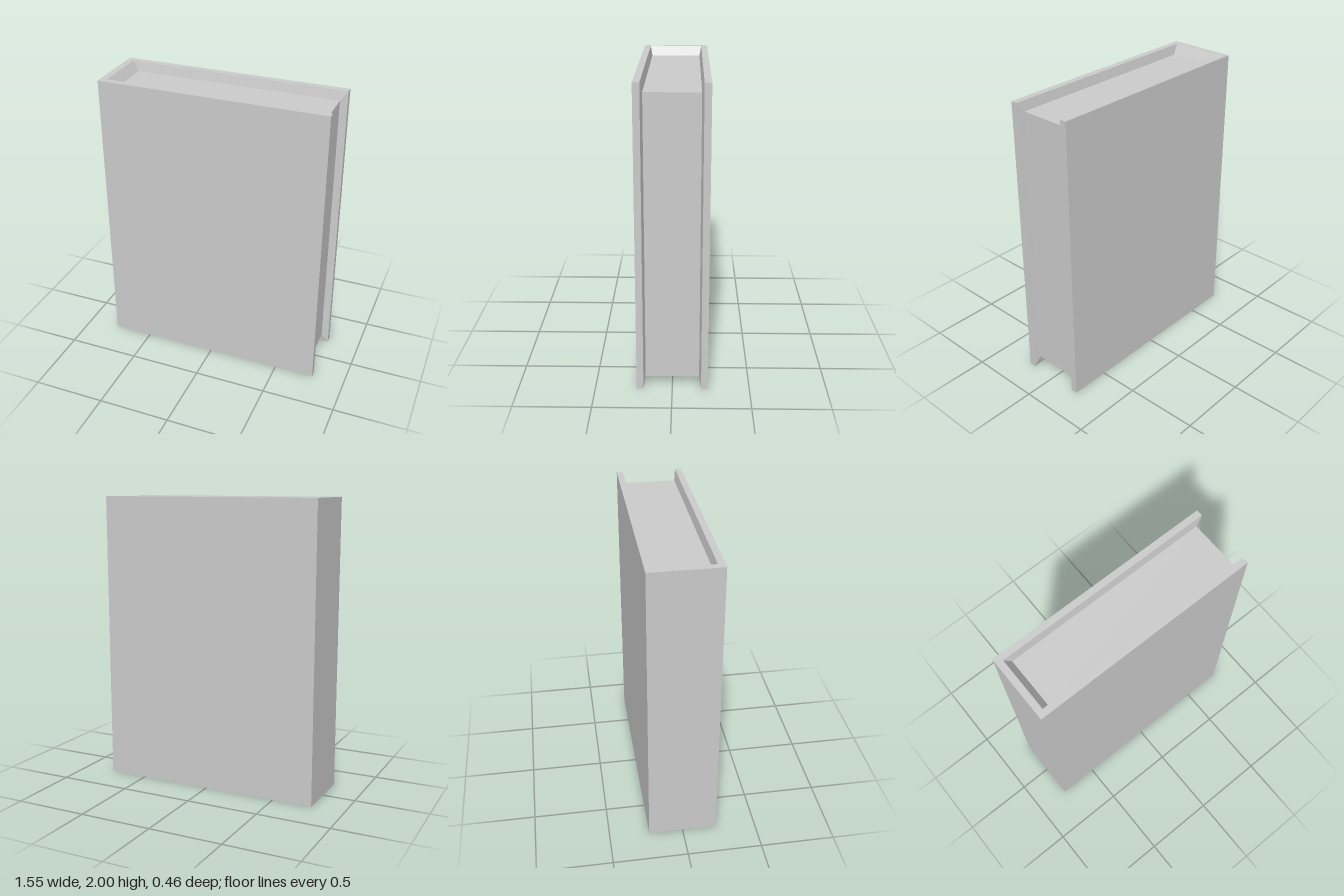
import * as THREE from 'three';

const HEIGHT = 2;
const INSET = 0.065; // how far the pages sit below the cover's top and bottom edges

// Plan corners [x, z] along the U from front fore-edge, round the spine, to back fore-edge
const mirrored = (a, b) => [a, b, [b[0], -b[1]], [a[0], -a[1]]];
const outer = mirrored([0.775, 0.231], [-0.775, 0.231]);
const rim = mirrored([0.775, 0.187], [-0.73, 0.187]);
const pageEdge = mirrored([0.727, 0.174], [-0.685, 0.174]);

// Cover: U-shaped loft whose inner side slopes down to the page block
function coverGeometry() {
  const at = ([x, z], y) => [x, y, z];
  const sections = outer.map((o, k) => [
    at(o, 0), at(o, HEIGHT),
    at(rim[k], HEIGHT), at(pageEdge[k], HEIGHT - INSET),
    at(pageEdge[k], INSET), at(rim[k], 0),
  ]);
  const positions = [];
  const quad = (a, b, c, d) => positions.push(...a, ...b, ...c, ...a, ...c, ...d);

  // Front board, spine and back board; the strip against the pages stays open
  for (let s = 0; s < 3; s++) {
    const p = sections[s], q = sections[s + 1];
    for (let i = 0; i < 6; i++) {
      if (i === 3) continue;
      const j = (i + 1) % 6;
      quad(p[i], p[j], q[j], q[i]);
    }
  }
  // Fore-edges: flat rim and slope to the pages
  const f = sections[0], b = sections[3];
  for (const [i, j, k, l] of [[0, 5, 2, 1], [5, 4, 3, 2]]) {
    quad(f[i], f[j], f[k], f[l]);
    quad(b[l], b[k], b[j], b[i]);
  }
  const geometry = new THREE.BufferGeometry();
  geometry.setAttribute('position', new THREE.Float32BufferAttribute(positions, 3));
  geometry.computeVertexNormals();
  return geometry;
}

export function createModel() {
  const book = new THREE.Group();
  book.name = 'book';
  const material = new THREE.MeshStandardMaterial({ color: 0xcccccc, flatShading: true });

  const cover = new THREE.Mesh(coverGeometry(), material);
  cover.name = 'cover';

  // Page block held inside the cover
  const [foreX, halfZ] = pageEdge[0];
  const spineX = pageEdge[1][0];
  const pages = new THREE.Mesh(
    new THREE.BoxGeometry(foreX - spineX, HEIGHT - 2 * INSET, 2 * halfZ), material);
  pages.position.set((foreX + spineX) / 2, HEIGHT / 2, 0);
  pages.name = 'pages';

  book.add(cover, pages);
  return book;
}
